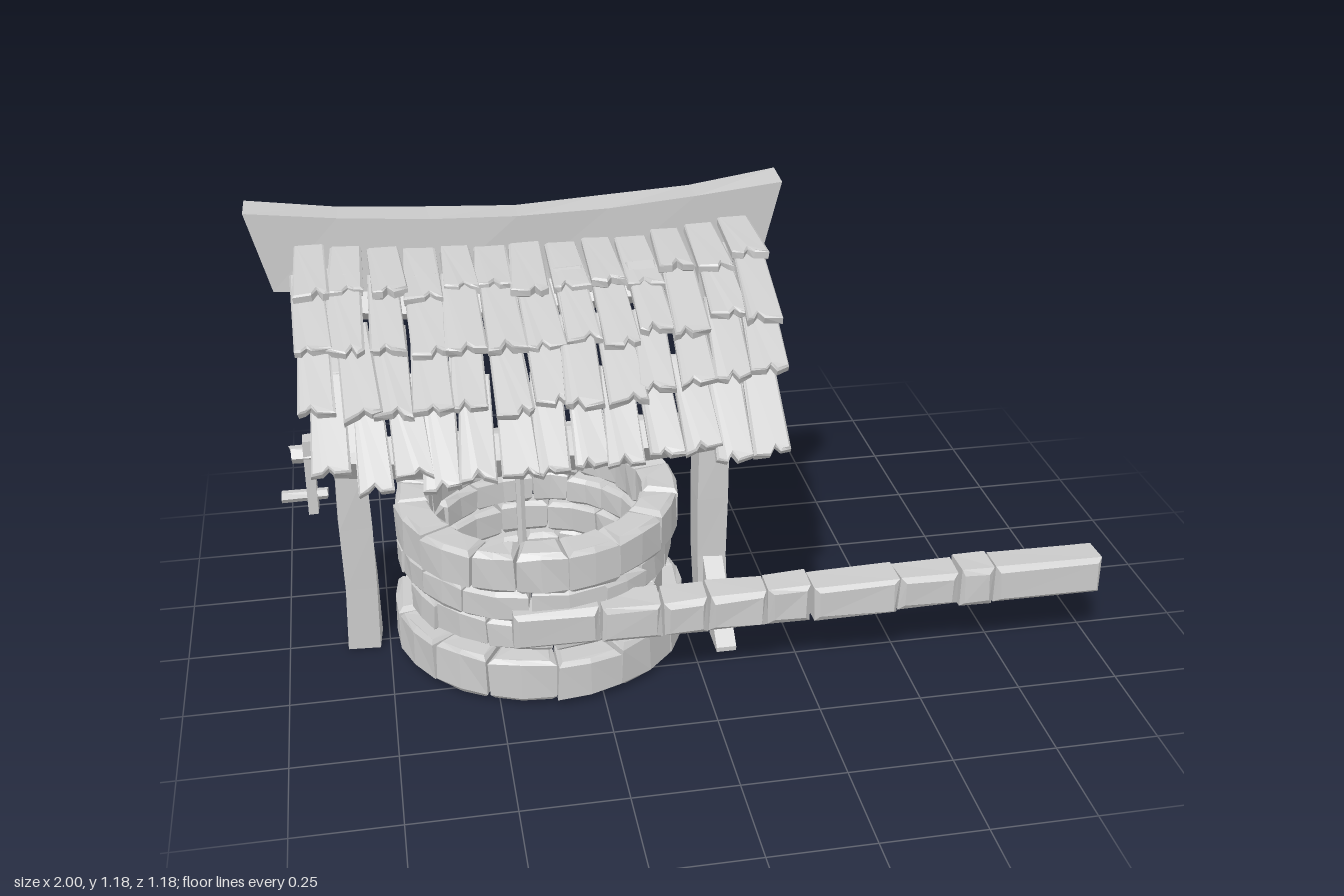
import * as THREE from 'three';

const CX = -0.365; // centre of the well and its roof
const stone = new THREE.MeshStandardMaterial({ color: 0xcccccc, flatShading: true });
const UP = new THREE.Vector3(0, 1, 0);

let seed = 7;
const rnd = () => (seed = (seed * 16807) % 2147483647) / 2147483647;
const vary = (a) => (rnd() * 2 - 1) * a;

function add(parent, name, geo) {
  const g = geo.index ? geo.toNonIndexed() : geo;
  g.computeVertexNormals();
  const mesh = new THREE.Mesh(g, stone);
  mesh.name = name;
  parent.add(mesh);
  return mesh;
}

// Move every vertex by a rule; coincident corners stay together
function warp(geo, rule) {
  const p = geo.attributes.position, v = new THREE.Vector3();
  for (let i = 0; i < p.count; i++) {
    v.fromBufferAttribute(p, i);
    rule(v);
    p.setXYZ(i, v.x, v.y, v.z);
  }
  return geo;
}

function jitter(geo, a) {
  const moves = new Map();
  return warp(geo, (v) => {
    const key = [v.x, v.y, v.z].map((n) => Math.round(n * 1e4)).join();
    if (!moves.has(key)) moves.set(key, new THREE.Vector3(vary(a), vary(a), vary(a)));
    v.add(moves.get(key));
  });
}

// Rough-hewn timber from a to b
function beam(parent, name, a, b, w, d, segs = 1, rough = 0.004) {
  const A = new THREE.Vector3(...a), B = new THREE.Vector3(...b);
  const geo = jitter(new THREE.BoxGeometry(w, A.distanceTo(B), d, 1, segs, 1), rough);
  const mesh = add(parent, name, geo);
  mesh.position.copy(A).add(B).multiplyScalar(0.5);
  mesh.quaternion.setFromUnitVectors(UP, B.sub(A).normalize());
  return mesh;
}

function polygon(points) {
  return new THREE.Shape(points.map(([x, y]) => new THREE.Vector2(x, y)));
}

// Chamfered block: outline in x/y, extruded along z from 0 to depth
function block(points, depth, bevel) {
  const geo = new THREE.ExtrudeGeometry(polygon(points), {
    depth: depth - 2 * bevel, bevelEnabled: true, bevelSegments: 1,
    bevelSize: bevel, bevelThickness: bevel, bevelOffset: -bevel,
  });
  return geo.translate(0, 0, bevel);
}

// One ring of curved stones with uneven lengths
function course(parent, y0, y1, r, count, start) {
  const lengths = Array.from({ length: count }, () => 0.7 + rnd() * 0.7);
  const total = lengths.reduce((s, n) => s + n, 0);
  let a = start;
  for (const len of lengths) {
    const span = (len / total) * Math.PI * 2;
    const outer = r + vary(0.01), inner = 0.262 + vary(0.006), gap = 0.006;
    const at = (rad, t) => {
      const ang = a + gap + (span - 2 * gap) * t;
      return [Math.cos(ang) * rad, Math.sin(ang) * rad];
    };
    const pts = [at(inner, 0), at(outer, 0), at(outer, 0.5), at(outer, 1), at(inner, 1), at(inner, 0.5)];
    const stoneGeo = block(pts, y1 - y0 + vary(0.006), 0.011).rotateX(-Math.PI / 2);
    add(parent, 'wellStone', jitter(stoneGeo, 0.003)).position.y = y0;
    a += span;
  }
}

// One half of the roof: four overlapping rows of split shingles, sagging at mid-length
function roofSide() {
  const side = new THREE.Group();
  side.name = 'roofSlope';
  const rows = [ // z and y of the upper edge, z and y of the lower edge, half width
    [0.02, 1.075, 0.215, 1.04, 0.53],
    [0.14, 1.05, 0.365, 0.965, 0.54],
    [0.27, 0.99, 0.48, 0.875, 0.53],
    [0.37, 0.915, 0.56, 0.755, 0.505],
  ];
  for (const [z0, y0, z1, y1, half] of rows) {
    const length = Math.hypot(z1 - z0, y0 - y1), slope = Math.atan2(y0 - y1, z1 - z0);
    const count = 13, step = (2 * half) / count;
    for (let i = 0; i < count; i++) {
      const x = -half + step * (i + 0.5);
      const w = step * (0.47 + rnd() * 0.07), l = length + vary(0.02), n = vary(0.4) * w;
      const pts = [[-w * 0.85, 0], [-w, -l + vary(0.01)], [n - 0.012, -l + vary(0.006)],
        [n, -l + 0.016], [n + 0.012, -l + vary(0.006)], [w, -l + vary(0.01)], [w * 0.85, 0]];
      const geo = jitter(block(pts, 0.024, 0.004), 0.0015);
      const shingle = add(side, 'shingle', geo);
      const sag = 0.035 * (1 - (x / 0.54) ** 2);
      shingle.position.set(x, y0 - sag + vary(0.005), z0);
      shingle.rotation.set(slope - Math.PI / 2 + vary(0.04), 0, vary(0.05));
      shingle.rotation.order = 'XYZ';
    }
  }
  // Eave beam
  const eave = new THREE.BoxGeometry(0.94, 0.075, 0.065, 6, 1, 1).rotateX(0.65);
  warp(eave, (v) => { v.y -= 0.03 * (1 - (v.x / 0.47) ** 2); });
  add(side, 'eaveBeam', jitter(eave, 0.003)).position.set(0, 0.755, 0.445);

  // Bent rafters and struts over each post
  const rafter = [[0, 1.04], [0, 0.975], [0.2, 0.91], [0.3, 0.86], [0.43, 0.775],
    [0.5, 0.79], [0.36, 0.915], [0.22, 0.985]];
  for (const x of [-0.445, 0.445]) {
    const geo = block(rafter.map(([z, y]) => [-z, y]).reverse(), 0.06, 0.004).rotateY(Math.PI / 2);
    add(side, 'rafter', geo).position.x = x - 0.03;
    beam(side, 'strut', [x, 0.77, 0], [x, 0.897, 0.265], 0.05, 0.06, 1, 0.003);
  }
  return side;
}

export function createModel() {
  const model = new THREE.Group();
  model.name = 'wishingWell';

  // Stone shaft
  const well = new THREE.Group();
  well.name = 'wellShaft';
  well.position.set(CX, 0, 0.008);
  course(well, 0.012, 0.126, 0.362, 15, 0.1);
  course(well, 0.13, 0.217, 0.325, 13, 0.4);
  course(well, 0.22, 0.303, 0.338, 14, 0.75);
  course(well, 0.305, 0.41, 0.356, 15, 0.2);
  model.add(well);

  // Low row of stones
  const row = new THREE.Group();
  row.name = 'stoneRow';
  const edges = [-0.465, -0.257, -0.107, 0.005, 0.15, 0.26, 0.477, 0.63, 0.72, 1.0];
  for (let i = 0; i < edges.length - 1; i++) {
    const h = 0.047 + vary(0.004), x0 = edges[i] + 0.003, x1 = edges[i + 1] - 0.003;
    const geo = block([[x0, -h], [x1, -h], [x1, h], [x0, h]], 0.1 + vary(0.006), 0.012);
    add(row, 'rowStone', jitter(geo, 0.003)).position.set(0, 0.21, 0.272);
  }
  model.add(row);

  // Posts, each with a ground brace
  for (const [x, s] of [[-0.81, -1], [0.08, 1]]) {
    beam(model, 'post', [x, 0.005, -0.005], [x, 1.02, -0.005], 0.078, 0.086, 6, 0.006);
    const brace = polygon([[0.13, 0.004], [0.22, 0.004], [0.22, 0.016], [0.02, 0.19], [0.02, 0.1]]);
    const geo = new THREE.ExtrudeGeometry(brace, { depth: 0.05, bevelEnabled: false });
    const mesh = add(model, 'groundBrace', geo.translate(0, 0, -0.025));
    mesh.rotation.y = -s * Math.PI / 2;
    mesh.position.x = x;
  }

  // Roof
  for (const turn of [0, Math.PI]) {
    const side = roofSide();
    side.position.x = CX - 0.005;
    side.rotation.y = turn;
    model.add(side);
  }

  // Sagging ridge beam with raked ends
  const ridge = new THREE.BoxGeometry(1.2, 0.16, 0.095, 6, 1, 1);
  warp(ridge, (v) => {
    const t = v.x / 0.6;
    v.x *= v.y > 0 ? 1.03 : 0.95;
    v.y += 0.05 * t * t - (v.y < 0 ? 0.03 * t * t : 0);
  });
  add(model, 'ridgeBeam', jitter(ridge, 0.004)).position.set(-0.381, 1.045, -0.01);

  // Windlass rod and crank
  const rod = jitter(new THREE.CylinderGeometry(0.025, 0.025, 1.2, 6, 6), 0.004);
  const axle = add(model, 'windlassRod', rod.rotateZ(Math.PI / 2));
  axle.position.set(-0.35, 0.545, -0.005);
  beam(model, 'crankArm', [-0.908, 0.39, -0.005], [-0.908, 0.585, -0.005], 0.025, 0.045, 1, 0.002);
  const grip = new THREE.CylinderGeometry(0.016, 0.016, 0.11, 6).rotateZ(Math.PI / 2);
  add(model, 'crankHandle', jitter(grip, 0.002)).position.set(-0.925, 0.432, -0.005);

  // Rope coils and hanging rope
  for (let i = 0; i < 5; i++) {
    const coil = add(model, 'ropeCoil', new THREE.TorusGeometry(0.033, 0.011, 5, 10));
    coil.rotation.set(0, Math.PI / 2 + 0.1, 0);
    coil.rotateX(0.15);
    coil.position.set(-0.405 + i * 0.025, 0.545, -0.005);
  }
  const rope = add(model, 'hangingRope', new THREE.CylinderGeometry(0.012, 0.012, 0.42, 6));
  rope.position.set(-0.405, 0.33, 0.025);
  return model;
}
